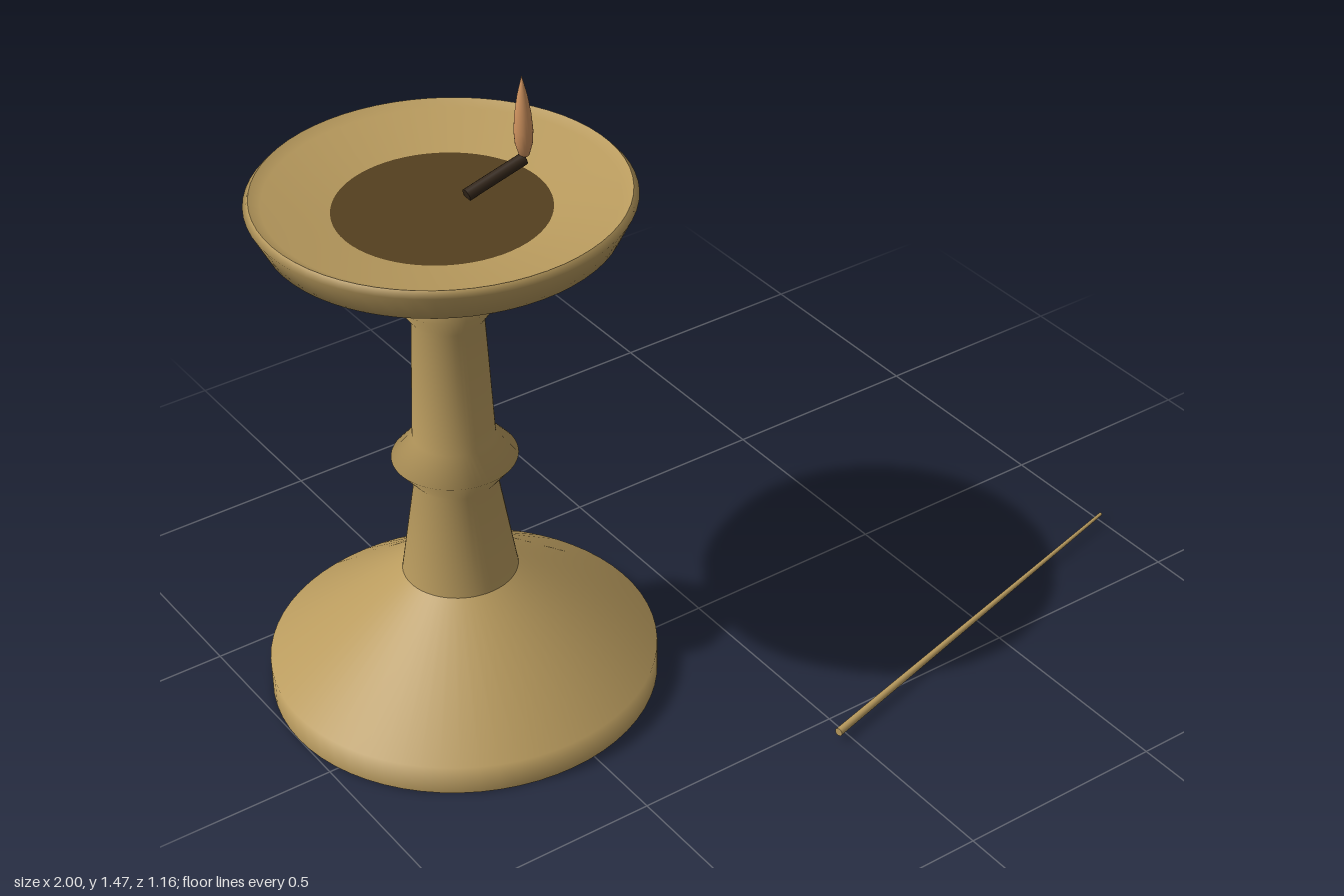
import * as THREE from 'three';

const material = (name, color) => Object.assign(new THREE.MeshStandardMaterial({ color }), { name });

export function createModel() {
  const model = new THREE.Group();
  model.name = 'oilLampAndStick';
  const brass = material('brass', 0xb99b5e);
  const oilBrown = material('oilBrown', 0x54401f);
  const wickBrown = material('wickBrown', 0x33261a);
  const flameOrange = material('flameOrange', 0xd0935f);

  const add = (parent, name, geometry, mat) => {
    const mesh = new THREE.Mesh(geometry, mat);
    mesh.name = name;
    parent.add(mesh);
    return mesh;
  };
  const lathe = (points, segments = 64) =>
    new THREE.LatheGeometry(points.map(([r, y]) => new THREE.Vector2(r, y)), segments);
  // Tapered round rod between two points
  const rod = (parent, name, from, to, r0, r1, mat) => {
    const a = new THREE.Vector3(...from), b = new THREE.Vector3(...to);
    const dir = b.clone().sub(a);
    const mesh = add(parent, name, new THREE.CylinderGeometry(r1, r0, dir.length(), 16), mat);
    mesh.position.copy(a).add(b).multiplyScalar(0.5);
    mesh.quaternion.setFromUnitVectors(new THREE.Vector3(0, 1, 0), dir.normalize());
    return mesh;
  };

  const lamp = new THREE.Group();
  lamp.name = 'lamp';
  lamp.position.set(-0.56, 0, -0.138);
  model.add(lamp);

  // Foot with its flat underside
  add(lamp, 'foot', lathe([[0.44, 0], [0.44, 0.07], [0.13, 0.295]]), brass);
  add(lamp, 'footUnderside', new THREE.CircleGeometry(0.44, 64).rotateX(Math.PI / 2), brass);

  // Turned stem with two collars
  add(lamp, 'stem', lathe([
    [0.13, 0.295], [0.092, 0.535], [0.14, 0.595], [0.092, 0.65],
    [0.079, 0.95], [0.117, 1.005], [0.075, 1.065],
  ]), brass);

  // Shallow dish: outside, lip and inside
  add(lamp, 'dishOutside', lathe([
    [0.075, 1.065], [0.175, 1.095], [0.38, 1.185], [0.412, 1.25], [0.4, 1.263],
  ]), brass);
  add(lamp, 'dishInside', lathe([[0.4, 1.263], [0.375, 1.25], [0.233, 1.219]]), brass);

  // Oil pool
  const oil = add(lamp, 'oil', new THREE.CircleGeometry(0.234, 64).rotateX(-Math.PI / 2), oilBrown);
  oil.position.y = 1.219;

  // Wick leaning out of the oil, with the flame at its tip
  rod(lamp, 'wick', [0.06, 1.228, 0], [0.205, 1.268, 0], 0.014, 0.014, wickBrown);
  const flame = add(lamp, 'flame', lathe([
    [0, 1.268], [0.011, 1.277], [0.019, 1.305], [0.021, 1.335],
    [0.018, 1.375], [0.011, 1.42], [0, 1.466],
  ], 24), flameOrange);
  flame.position.x = 0.206;

  // Thin stick lying beside the lamp
  rod(model, 'stick', [-0.028, 0.022, 0.569], [0.999, 0.022, 0.294], 0.0095, 0.004, brass);

  return model;
}
